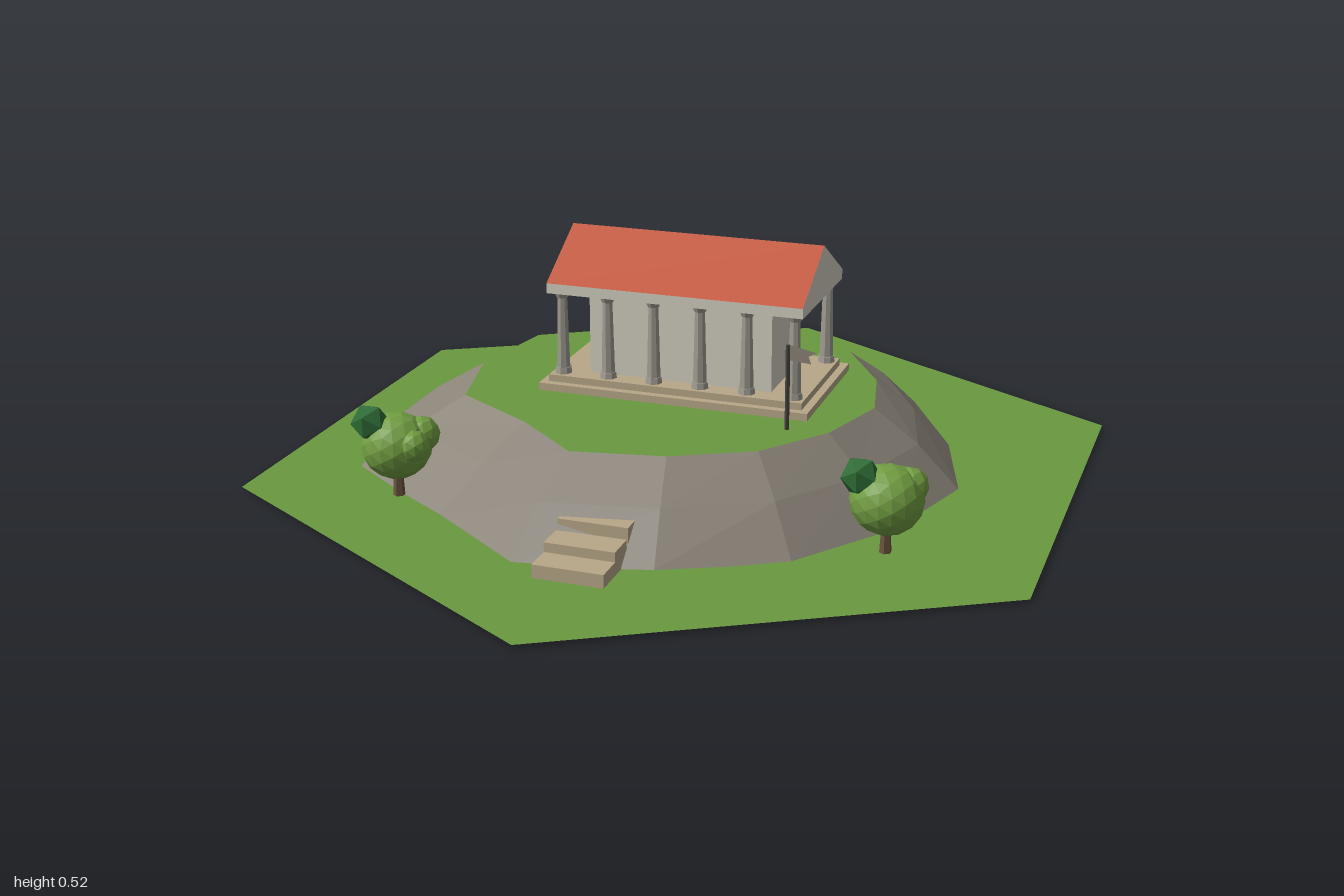
import * as THREE from 'three';

const mat = (name, color, extra = {}) => {
  const m = new THREE.MeshStandardMaterial({ color, flatShading: true, ...extra });
  m.name = name;
  return m;
};

export function createModel() {
  const root = new THREE.Group();
  root.name = 'hilltopTemple';
  const double = { side: THREE.DoubleSide };
  const grass = mat('grass', 0x6a9a40, double);
  const rock = mat('rock', 0x8a8378, double);
  const stone = mat('paleStone', 0xd2cec0);
  const columnStone = mat('columnStone', 0xa19d92);
  const tan = mat('sandstone', 0xb8a888);
  const roofRed = mat('roofTile', 0xc4563a);
  const leaf = mat('leaf', 0x729e42);
  const darkLeaf = mat('darkLeaf', 0x2d6a34);
  const bark = mat('bark', 0x6a5440);
  const iron = mat('darkPole', 0x45433e);

  const add = (name, geo, material, x = 0, y = 0, z = 0, parent = root) => {
    const m = new THREE.Mesh(geo, material);
    m.name = name;
    m.position.set(x, y, z);
    parent.add(m);
    return m;
  };
  const box = (name, w, y0, y1, d, material, x, z, parent) =>
    add(name, new THREE.BoxGeometry(w, y1 - y0, d), material, x, (y0 + y1) / 2, z, parent);

  // Hexagonal ground
  add('ground', new THREE.CircleGeometry(1, 6, Math.PI / 2).rotateX(-Math.PI / 2), grass, 0, 0.007, 0);

  // Irregular mound: foot and rim outlines as [x, z], with a bulging ring between
  const foot = [[-.69, -.34], [-.41, -.52], [-.14, -.585], [.14, -.6], [.41, -.52], [.55, -.26], [.63, 0],
    [.545, .26], [.385, .485], [.14, .62], [-.15, .675], [-.39, .5], [-.67, .315], [-.75, 0]];
  const rim = [[-.47, -.235], [-.28, -.355], [-.11, -.4], [.11, -.405], [.28, -.36], [.39, -.18], [.43, 0],
    [.375, .18], [.265, .33], [.095, .42], [-.106, .458], [-.26, .33], [-.455, .214], [-.508, 0]];
  const n = foot.length, top = 0.173;
  const rings = [
    foot.map(([x, z], i) => [x, i % 3 ? 0.003 : 0.012, z]),
    foot.map(([x, z], i) => [(x + rim[i][0]) / 2, 0.1, (z + rim[i][1]) / 2]),
    rim.map(([x, z]) => [x, top, z]),
  ];
  rings[0][6][1] = rings[0][10][1] = 0;
  const slope = [], cap = [];
  for (let i = 0; i < n; i++) {
    const j = (i + 1) % n;
    for (let r = 0; r < 2; r++) {
      const a = rings[r][i], b = rings[r][j], c = rings[r + 1][i], d = rings[r + 1][j];
      slope.push(...b, ...a, ...c, ...b, ...c, ...d);
    }
    cap.push(0, top, 0, ...rings[2][j], ...rings[2][i]);
  }
  const soup = (pts) => {
    const g = new THREE.BufferGeometry();
    g.setAttribute('position', new THREE.Float32BufferAttribute(pts, 3));
    g.computeVertexNormals();
    return g;
  };
  add('moundSlope', soup(slope), rock);
  add('moundTop', soup(cap), grass);

  // Temple
  const temple = new THREE.Group();
  temple.name = 'temple';
  temple.position.z = -0.048;
  root.add(temple);
  box('lowerPlatform', 0.625, 0.168, 0.19, 0.355, tan, 0, 0, temple);
  box('upperPlatform', 0.59, 0.19, 0.206, 0.32, tan, 0, 0, temple);
  box('innerHall', 0.425, 0.206, 0.398, 0.226, stone, 0, 0, temple);
  box('entablature', 0.59, 0.397, 0.42, 0.325, stone, 0, 0, temple);

  // Gable prism: pale ends, red slopes
  const gable = new THREE.Shape([[-.1625, 0], [.1625, 0], [0, .097]].map(p => new THREE.Vector2(...p)));
  const roofGeo = new THREE.ExtrudeGeometry(gable, { depth: 0.59, bevelEnabled: false });
  roofGeo.translate(0, 0, -0.295).rotateY(Math.PI / 2);
  add('roof', roofGeo, [stone, roofRed], 0, 0.42, 0, temple);

  // Two rows of six columns
  const shaft = new THREE.CylinderGeometry(0.0115, 0.016, 0.165, 8);
  const foot8 = new THREE.CylinderGeometry(0.018, 0.02, 0.014, 8);
  const capital = new THREE.CylinderGeometry(0.02, 0.013, 0.016, 8);
  for (const z of [-0.133, 0.133]) {
    for (let i = 0; i < 6; i++) {
      const col = new THREE.Group();
      col.name = 'column';
      col.position.set(-0.27 + i * 0.108, 0, z);
      temple.add(col);
      add('columnBase', foot8, columnStone, 0, 0.213, 0, col);
      add('columnShaft', shaft, columnStone, 0, 0.302, 0, col);
      add('columnCapital', capital, columnStone, 0, 0.39, 0, col);
    }
  }

  // Stairs climbing the front of the mound
  [[0.69, 0.07, 0.037], [0.63, 0.065, 0.058], [0.57, 0.04, 0.08]].forEach(([z, d, h]) =>
    box('stairStep', 0.152, 0.008, h, d, tan, -0.002, z));

  // Flagpole and pennant
  add('flagpole', new THREE.CylinderGeometry(0.005, 0.005, 0.195, 6), iron, 0.285, 0.265, 0.19);
  const pennant = new THREE.Shape([[0, 0], [.05, -.004], [.044, .012], [.062, .022], [0, .034]]
    .map(p => new THREE.Vector2(...p)));
  add('flag', new THREE.ShapeGeometry(pennant), rock, 0.286, 0.329, 0.19);

  // Trees: round crown with side lobes and a dark upper clump
  const makeTree = (x, z, lobes, clump) => {
    const tree = new THREE.Group();
    tree.name = 'tree';
    tree.position.set(x, 0, z);
    root.add(tree);
    add('trunk', new THREE.CylinderGeometry(0.009, 0.013, 0.08, 6), bark, 0, 0.046, 0, tree);
    add('crown', new THREE.IcosahedronGeometry(0.077, 2), leaf, 0, 0.122, 0, tree).scale.y = 0.95;
    lobes.forEach(([lx, ly, lz, r]) =>
      add('crownLobe', new THREE.IcosahedronGeometry(r, 1), leaf, lx, ly, lz, tree));
    add('darkClump', new THREE.IcosahedronGeometry(0.043, 0), darkLeaf, ...clump, tree);
  };
  makeTree(-0.52, 0.425, [[0.048, 0.145, -0.025, 0.04], [0.052, 0.135, 0.025, 0.036]], [-0.046, 0.178, 0.028]);
  makeTree(0.55, 0.375, [[0.04, 0.147, -0.025, 0.04], [0.01, 0.14, -0.055, 0.036]], [-0.05, 0.175, 0.024]);

  return root;
}
